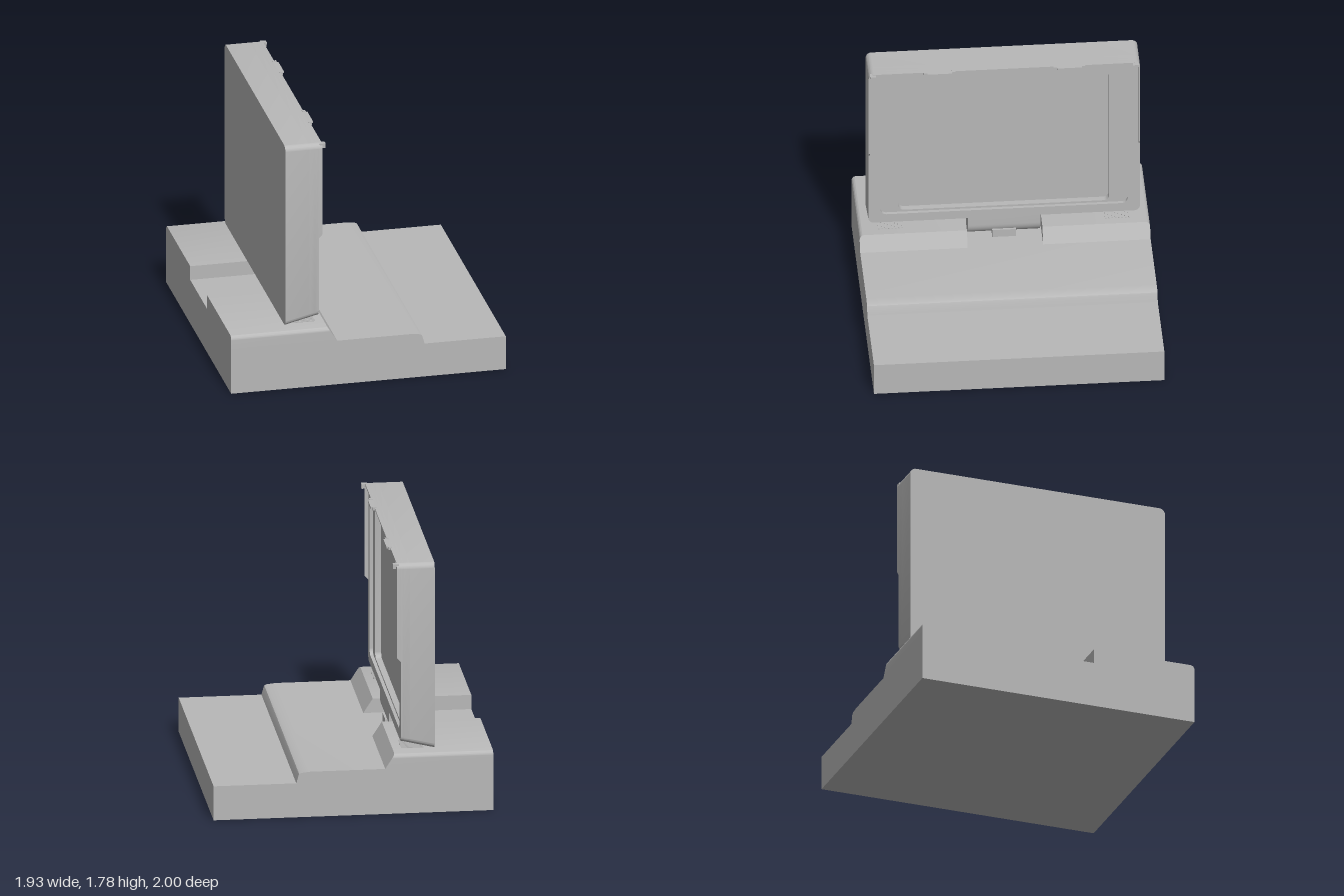
import * as THREE from 'three';
import { toCreasedNormals } from 'three/addons/utils/BufferGeometryUtils.js';

export function createModel() {
  const model = new THREE.Group();
  model.name = 'portableComputer';
  const grey = new THREE.MeshStandardMaterial({ color: 0xb8b8b8 });
  grey.name = 'plain grey';

  function add(name, geometry, parent = model) {
    const mesh = new THREE.Mesh(toCreasedNormals(geometry, 0.6), grey);
    mesh.name = name;
    parent.add(mesh);
    return mesh;
  }
  function box(name, x0, x1, y0, y1, z0, z1, parent) {
    const g = new THREE.BoxGeometry(x1 - x0, y1 - y0, z1 - z0);
    g.translate((x0 + x1) / 2, (y0 + y1) / 2, (z0 + z1) / 2);
    return add(name, g, parent);
  }
  // Profile in x,y extruded from z0 to z1
  function alongZ(shape, z0, z1) {
    return new THREE.ExtrudeGeometry(shape, { depth: z1 - z0, bevelEnabled: false, curveSegments: 12 })
      .translate(0, 0, z0);
  }
  // Outline in -z,y extruded from x0 to x1
  function alongX(shape, x0, x1) {
    return new THREE.ExtrudeGeometry(shape, { depth: x1 - x0, bevelEnabled: false, curveSegments: 8 })
      .rotateY(Math.PI / 2).translate(x0, 0, 0);
  }
  function moveVertices(g, rule) {
    const p = g.attributes.position;
    const v = new THREE.Vector3();
    for (let i = 0; i < p.count; i++) {
      rule(v.fromBufferAttribute(p, i));
      p.setXYZ(i, v.x, v.y, v.z);
    }
    return g;
  }
  function roundRect(target, w, y0, y1, r) {
    target.moveTo(-w + r, y0);
    target.lineTo(w - r, y0);
    target.absarc(w - r, y0 + r, r, -Math.PI / 2, 0);
    target.absarc(w - r, y1 - r, r, 0, Math.PI / 2);
    target.absarc(-w + r, y1 - r, r, Math.PI / 2, Math.PI);
    target.absarc(-w + r, y0 + r, r, Math.PI, Math.PI * 1.5);
    return target;
  }

  // Stepped base
  const deck = new THREE.Shape([
    [-0.967, 0], [0.967, 0], [0.967, 0.245], [0.395, 0.245], [0.38, 0.3],
    [0.375, 0.311], [0.36, 0.318], [0.3, 0.325], [-0.967, 0.325],
  ].map(([x, y]) => new THREE.Vector2(x, y)));
  add('baseDeck', alongZ(deck, -1, 1));

  // Raised rear blocks beside the hinge channel, with vent slats under the lid
  for (const s of [1, -1]) {
    const side = s > 0 ? 'left' : 'right';
    const block = new THREE.Shape();
    const a = -s * 0.26, b = -s, r = 0.03;
    block.moveTo(a, 0.325);
    block.lineTo(b, 0.325);
    block.lineTo(b, 0.427 - r);
    block.absarc(b + s * r, 0.427 - r, r, s > 0 ? Math.PI : 0, Math.PI / 2, s > 0);
    block.lineTo(a, 0.427);
    add(side + 'RearBlock', moveVertices(alongX(block, -0.967, -0.22), (v) => {
      if (v.x > -0.5) v.x -= (v.y - 0.325) * 0.64;
    }));
    const vent = new THREE.Group();
    vent.name = side + 'Vent';
    model.add(vent);
    for (let i = 0; i < 8; i++) {
      const z = s * (0.7 + i * 0.023);
      box('ventSlat', -0.5, -0.345, 0.425, 0.432, z - 0.005, z + 0.005, vent);
    }
  }

  // Upright lid in three layers; its bottom edge rises towards the front
  const lid = new THREE.Group();
  lid.name = 'screenLid';
  model.add(lid);
  const opening = {
    inner: () => roundRect(new THREE.Path(), 0.725, 0.575, 1.675, 0.04),
    outer: () => roundRect(new THREE.Path(), 0.85, 0.56, 1.7, 0.04),
  };
  function lidLayer(name, x0, x1, hole) {
    const shape = roundRect(new THREE.Shape(), 0.935, 0.437, 1.775, 0.04);
    if (hole) shape.holes.push(hole());
    add(name, moveVertices(alongX(shape, x0, x1), (v) => {
      if (v.y < 0.53) v.y += (v.x + 0.57) * 0.24;
    }), lid);
  }
  lidLayer('lidBack', -0.57, -0.4);
  lidLayer('screenSurround', -0.4, -0.358, opening.inner);
  lidLayer('lidFrame', -0.358, -0.335, opening.outer);

  // Thin lip around the upper half of the lid
  const lip = new THREE.Shape();
  const w = 0.935, t = 0.01, top = 1.775, r = 0.04;
  lip.moveTo(w, 1.07);
  lip.lineTo(w, top - r);
  lip.absarc(w - r, top - r, r, 0, Math.PI / 2);
  lip.absarc(-w + r, top - r, r, Math.PI / 2, Math.PI);
  lip.lineTo(-w, 1.07);
  lip.lineTo(-w + t, 1.07);
  lip.absarc(-w + r, top - r, r - t, Math.PI, Math.PI / 2, true);
  lip.absarc(w - r, top - r, r - t, Math.PI / 2, 0, true);
  lip.lineTo(w - t, 1.07);
  add('lidLip', moveVertices(alongX(lip, -0.335, -0.309), (v) => {
    if (v.y < 1.2) v.y += (v.x + 0.335) * 1.15;
  }), lid);

  // Top catches and corner hooks
  for (const s of [1, -1]) {
    const z = s * 0.447;
    box('topCatch', -0.32, -0.284, 1.762, 1.775, z - 0.085, z + 0.085, lid);
    for (const e of [-1, 1]) {
      box('catchEnd', -0.32, -0.295, 1.758, 1.778, z + e * 0.097 - 0.012, z + e * 0.097 + 0.012, lid);
    }
    box('cornerHook', -0.325, -0.284, 1.755, 1.772, s * 0.905 - 0.02, s * 0.905 + 0.02, lid);
    box('cornerHookTip', -0.304, -0.284, 1.738, 1.757, s * 0.905 - 0.015, s * 0.905 + 0.015, lid);
  }

  // Hinge with a rounded underside and a centre tab
  const hinge = new THREE.Shape();
  hinge.moveTo(-0.335, 0.52);
  hinge.lineTo(-0.54, 0.52);
  hinge.lineTo(-0.54, 0.43);
  hinge.absarc(-0.4375, 0.43, 0.1025, Math.PI, Math.PI * 2);
  add('hingeBarrel', alongZ(hinge, -0.25, 0.25));
  box('hingeTab', -0.44, -0.33, 0.326, 0.385, -0.082, 0.082);

  return model;
}
